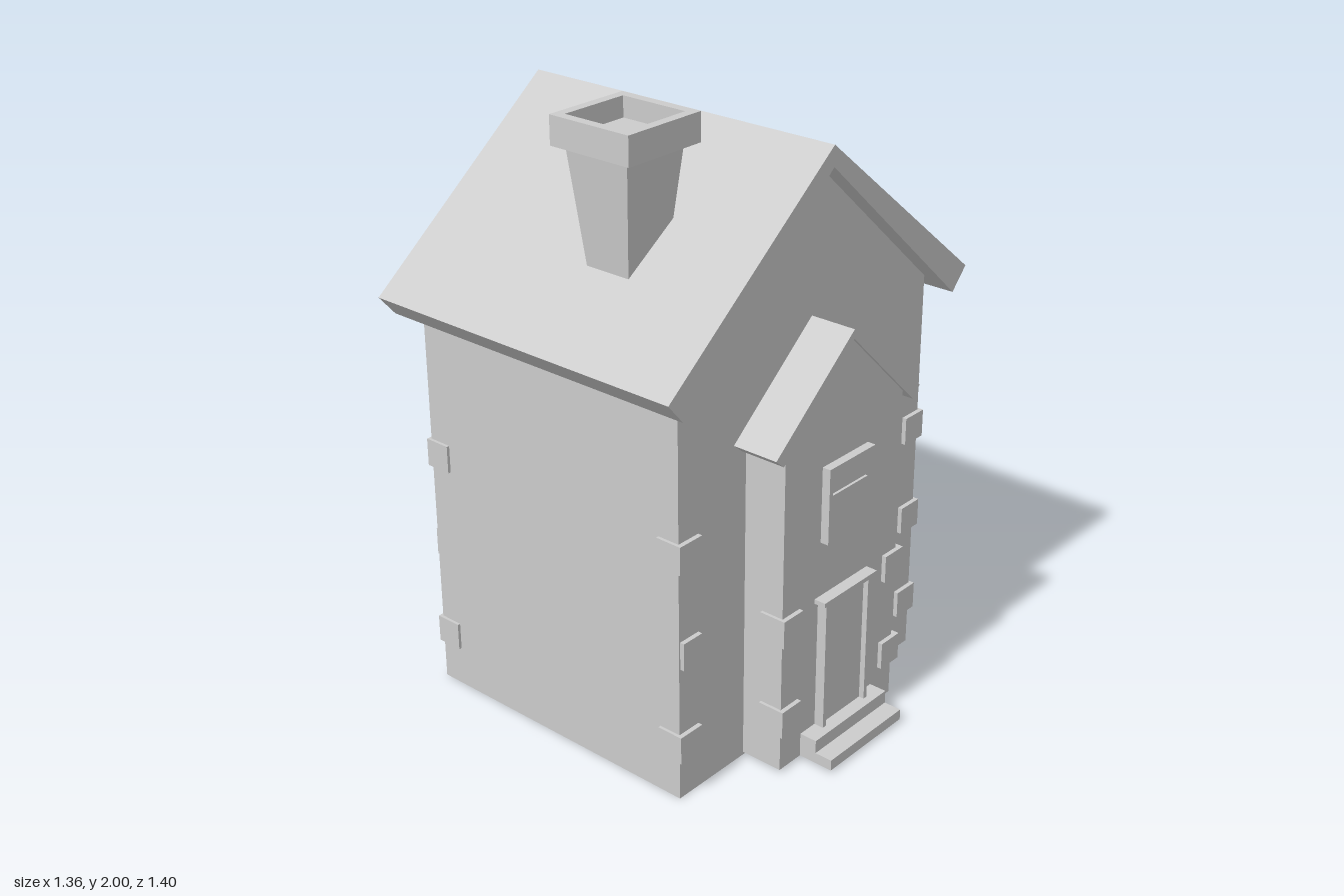
import * as THREE from 'three';

const material = new THREE.MeshStandardMaterial({ color: 0xcccccc, flatShading: true });

export function createModel() {
  const house = new THREE.Group();
  house.name = 'house';

  const add = (name, geometry) => {
    const mesh = new THREE.Mesh(geometry, material);
    mesh.name = name;
    house.add(mesh);
    return mesh;
  };

  // Box given by its limits on each axis
  const box = (name, x0, x1, y0, y1, z0, z1) =>
    add(name, new THREE.BoxGeometry(x1 - x0, y1 - y0, z1 - z0))
      .position.set((x0 + x1) / 2, (y0 + y1) / 2, (z0 + z1) / 2);

  // Outline of [z, y] points, extruded along x, with optional holes
  const toPoints = (pts) => pts.map(([z, y]) => new THREE.Vector2(-z, y));
  const slab = (name, x0, x1, outline, holes = []) => {
    const shape = new THREE.Shape(toPoints(outline));
    holes.forEach((h) => shape.holes.push(new THREE.Path(toPoints(h))));
    const g = new THREE.ExtrudeGeometry(shape, { depth: x1 - x0, bevelEnabled: false });
    g.rotateY(Math.PI / 2);
    g.translate(x0, 0, 0);
    return add(name, g);
  };
  const rect = (z0, z1, y0, y1) => [[z0, y0], [z1, y0], [z1, y1], [z0, y1]];

  // Main walls and gabled roof
  slab('walls', -0.61, 0.415, [[0.59, 0], [0.59, 1.34], [0, 1.86], [-0.57, 1.34], [-0.57, 0]]);
  slab('roof', -0.68, 0.48, [
    [0, 1.91], [0.7, 1.36], [0.64, 1.29], [0, 1.845], [-0.635, 1.275], [-0.7, 1.345],
  ]);

  // Entrance bay and its small roof
  slab('porchWalls', 0.4, 0.56, [[0.295, 0.01], [0.295, 1.08], [0, 1.36], [-0.27, 1.09], [-0.27, 0.01]]);
  slab('porchRoof', 0.4, 0.57, [
    [0, 1.38], [0.35, 1.09], [0.315, 1.06], [0, 1.35], [-0.31, 1.05], [-0.345, 1.085],
  ]);

  // Corner stones of the main walls
  const rows = [0.182, 0.5, 0.825];
  rows.forEach((y, i) => {
    const front = i === 1 ? 0.585 : 0.6;
    for (const [x0, x1] of [[-0.62, -0.53], [0.34, 0.43]]) {
      box('cornerStone', x0, x1, y - 0.046, y + 0.046, 0.505, front);
      box('cornerStone', x0, x1, y - 0.046, y + 0.046, -0.58, -0.488);
    }
  });

  // Corner stones of the entrance bay
  for (const y of rows.slice(0, 2)) {
    box('porchStone', 0.483, 0.575, y - 0.046, y + 0.046, 0.215, 0.305);
    box('porchStone', 0.483, 0.575, y - 0.046, y + 0.046, -0.29, -0.2);
  }

  // Door, frame, lintel and steps
  box('door', 0.55, 0.575, 0.08, 0.535, -0.09, 0.115);
  box('doorPost', 0.55, 0.593, 0.08, 0.535, 0.11, 0.125);
  box('doorPost', 0.55, 0.593, 0.08, 0.535, -0.1, -0.085);
  box('doorLintel', 0.55, 0.6, 0.53, 0.545, -0.118, 0.142);
  slab('windowFrame', 0.55, 0.588, rect(-0.1, 0.12, 0.73, 0.98), [
    rect(-0.085, 0.105, 0.743, 0.878),
    rect(-0.085, 0.105, 0.89, 0.968),
  ]);
  box('windowPane', 0.55, 0.566, 0.735, 0.975, -0.095, 0.115);
  box('upperStep', 0.55, 0.62, 0.01, 0.09, -0.165, 0.195);
  box('lowerStep', 0.55, 0.68, 0.01, 0.046, -0.165, 0.195);

  // Tapered chimney shaft
  const shaft = new THREE.BoxGeometry(1, 0.42, 1);
  const p = shaft.attributes.position;
  for (let i = 0; i < p.count; i++) {
    const width = p.getY(i) > 0 ? 0.235 : 0.15;
    p.setX(i, p.getX(i) * width);
    p.setZ(i, p.getZ(i) * width);
  }
  add('chimneyShaft', shaft).position.set(0.035, 1.71, 0.375);

  // Hollow chimney cap
  const square = (h) => [[-h, -h], [h, -h], [h, h], [-h, h]].map(([a, b]) => new THREE.Vector2(a, b));
  const rim = new THREE.Shape(square(0.148));
  rim.holes.push(new THREE.Path(square(0.117)));
  const cap = new THREE.ExtrudeGeometry(rim, { depth: 0.09, bevelEnabled: false });
  cap.rotateX(-Math.PI / 2);
  add('chimneyCap', cap).position.set(0.037, 1.91, 0.373);
  box('chimneyFloor', -0.085, 0.158, 1.91, 1.935, 0.252, 0.494);

  return house;
}
